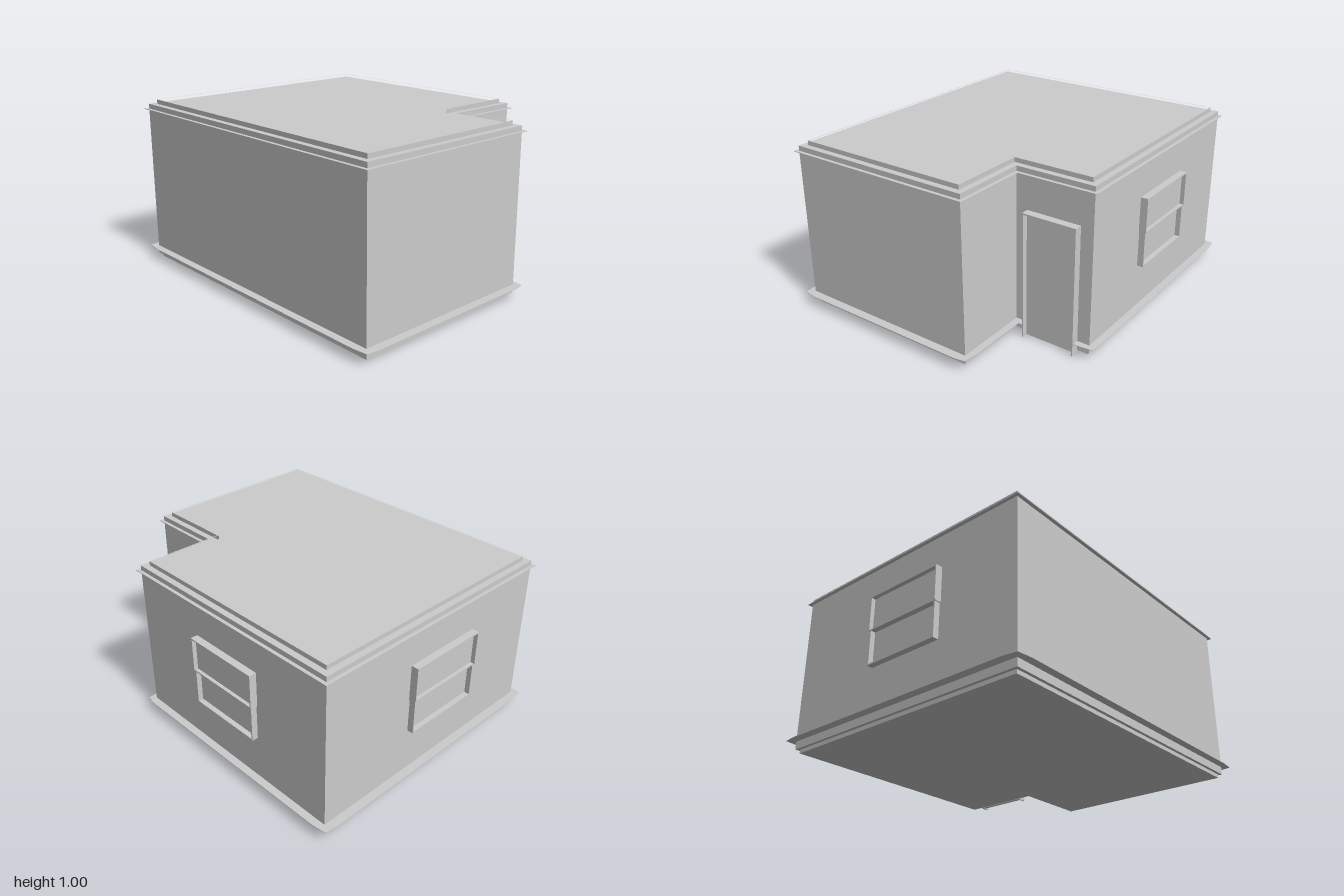
import * as THREE from 'three';

const gray = new THREE.MeshStandardMaterial({ color: 0xcccccc });
gray.name = 'light gray';

// L-shaped footprint grown outwards by d, as [x, z] corners
const footprint = (d) => [
  [-0.8 - d, -0.95 - d], [0.8 + d, -0.95 - d], [0.8 + d, 0.5 + d],
  [0.33 + d, 0.5 + d], [0.33 + d, 0.95 + d], [-0.8 - d, 0.95 + d],
];
const toPoints = (pts) => pts.map(([x, z]) => new THREE.Vector2(x, -z));

// Upright prism over a plan outline
function slab(name, outline, y, height, hole) {
  const shape = new THREE.Shape(toPoints(outline));
  if (hole) shape.holes.push(new THREE.Path(toPoints(hole)));
  const geo = new THREE.ExtrudeGeometry(shape, { depth: height, bevelEnabled: false });
  geo.rotateX(-Math.PI / 2);
  geo.translate(0, y, 0);
  const mesh = new THREE.Mesh(geo, gray);
  mesh.name = name;
  return mesh;
}

function box(name, w, h, d, x, y, z) {
  const mesh = new THREE.Mesh(new THREE.BoxGeometry(w, h, d), gray);
  mesh.name = name;
  mesh.position.set(x, y, z);
  return mesh;
}

// Sash window facing +z with its back on the wall plane
function makeWindow(name, w) {
  const g = new THREE.Group();
  g.name = name;
  const t = 0.008, low = 0.33, mid = 0.54, top = 0.745;
  for (const s of [-1, 1]) {
    g.add(box('upperJamb', t, top - mid, 0.045, s * (w / 2 - t / 2), (top + mid) / 2, 0.0225));
    g.add(box('lowerJamb', t, mid - low, 0.038, s * (w / 2 - t / 2 - 0.006), (mid + low) / 2, 0.019));
  }
  g.add(box('head', w, t, 0.045, 0, top - t / 2, 0.0225));
  g.add(box('meetingRail', w, t, 0.04, 0, mid, 0.02));
  g.add(box('sill', w - 0.012, t, 0.038, 0, low + t / 2, 0.019));
  g.add(box('upperPane', w - 2 * t, top - mid, 0.006, 0, (top + mid) / 2, 0.017));
  g.add(box('lowerPane', w - 2 * t - 0.012, mid - low, 0.006, 0, (mid + low) / 2, 0.005));
  return g;
}

export function createModel() {
  const model = new THREE.Group();
  model.name = 'building';

  // Main masses
  model.add(slab('floorPlate', footprint(-0.018), 0, 0.025));
  model.add(slab('walls', footprint(0), 0.022, 0.953));
  model.add(slab('parapet', footprint(-0.036), 0.974, 0.027, footprint(-0.042)));
  model.add(slab('corniceLedge', footprint(0.02), 0.943, 0.003, footprint(0)));

  // Base ledge, slightly bowed at the corners and open at the door
  const outer = [
    [0.725, 0.54], [0.835, 0.53], [0.845, 0.45], [0.845, -0.9], [0.835, -0.99],
    [0.76, -1], [-0.765, -1], [-0.835, -0.99], [-0.845, -0.9], [-0.845, 0.9],
    [-0.835, 0.99], [-0.765, 1], [0.29, 1], [0.355, 0.99], [0.37, 0.9], [0.37, 0.54], [0.4, 0.54],
  ];
  const inner = [
    [0.4, 0.5], [0.33, 0.5], [0.33, 0.95], [-0.8, 0.95],
    [-0.8, -0.95], [0.8, -0.95], [0.8, 0.5], [0.725, 0.5],
  ];
  model.add(slab('baseLedge', [...outer, ...inner], 0.068, 0.003));

  // Door in the recessed corner
  const door = new THREE.Group();
  door.name = 'door';
  for (const x of [0.404, 0.721]) door.add(box('doorJamb', 0.008, 0.745, 0.05, x, 0.3725, 0.523));
  door.add(box('doorHead', 0.325, 0.008, 0.05, 0.5625, 0.741, 0.523));
  door.add(box('doorLeaf', 0.31, 0.74, 0.02, 0.5625, 0.372, 0.506));
  model.add(door);

  // Windows on the left side and the back
  const side = makeWindow('sideWindow', 0.475);
  side.position.set(0.798, 0, -0.222);
  side.rotation.y = Math.PI / 2;
  const back = makeWindow('backWindow', 0.5);
  back.position.set(-0.05, 0, -0.948);
  back.rotation.y = Math.PI;
  model.add(side, back);
  return model;
}
